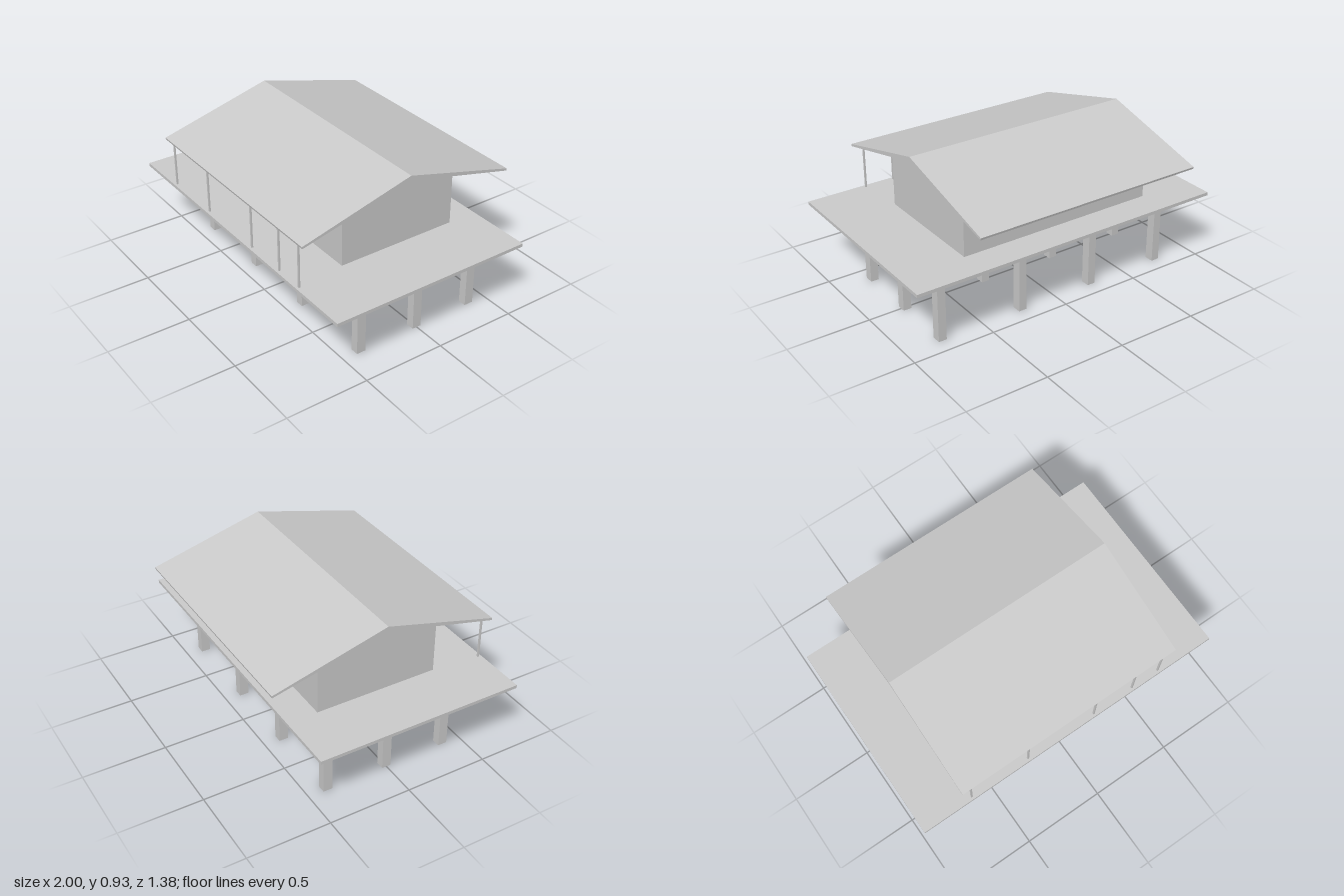
import * as THREE from 'three';

const material = new THREE.MeshStandardMaterial({ color: 0xcccccc, flatShading: true });

export function createModel() {
  const house = new THREE.Group();
  house.name = 'stiltHouse';

  const add = (name, geometry) => {
    const mesh = new THREE.Mesh(geometry, material);
    mesh.name = name;
    house.add(mesh);
    return mesh;
  };

  // Box given by its extents along each axis
  const box = (name, x0, x1, y0, y1, z0, z1) =>
    add(name, new THREE.BoxGeometry(x1 - x0, y1 - y0, z1 - z0)
      .translate((x0 + x1) / 2, (y0 + y1) / 2, (z0 + z1) / 2));

  // Outline of (z, y) points extruded along x
  const extrudeX = (name, points, x0, x1) => {
    const shape = new THREE.Shape(points.map(([z, y]) => new THREE.Vector2(z, y)));
    const geometry = new THREE.ExtrudeGeometry(shape, { depth: x1 - x0, bevelEnabled: false });
    return add(name, geometry.rotateY(-Math.PI / 2).translate(x1, 0, 0));
  };

  // Deck
  box('deck', -1, 1, 0.432, 0.452, -0.56, 0.69);

  // Beams, flared capitals and piers
  for (const x of [-0.75, -0.255, 0.238, 0.77]) {
    box('beam', x - 0.052, x + 0.052, 0.412, 0.432, -0.483, 0.483);
    for (const z of [-0.381, 0, 0.384]) {
      const capital = new THREE.CylinderGeometry(0.05 * Math.SQRT2, 0.038 * Math.SQRT2, 0.019, 4)
        .rotateY(Math.PI / 4).translate(x, 0.4025, z);
      add('capital', capital);
      box('pier', x - 0.025, x + 0.025, 0, 0.393, z - 0.028, z + 0.028);
    }
  }

  // Long walls, open above, between the two gable walls
  const left = 0.6, right = -0.65, depth = 0.375, t = 0.008;
  box('frontWall', right + t, left - t, 0.452, 0.718, depth - t, depth);
  box('backWall', right + t, left - t, 0.452, 0.718, -depth, -depth + t);
  const gable = [[-depth, 0.452], [depth, 0.452], [depth, 0.8], [0, 0.886], [-depth, 0.8]];
  extrudeX('leftGableWall', gable, left - t, left);
  extrudeX('rightGableWall', gable, right, right + t);

  // Pitched roof, thinner towards the eaves
  extrudeX('roof', [
    [0, 0.925], [-0.692, 0.743], [-0.689, 0.73], [0, 0.895], [0.689, 0.73], [0.692, 0.743],
  ], -0.737, 0.697);

  // Thin posts along the front eave
  for (const x of [-0.674, -0.289, 0.171, 0.444, 0.631]) {
    box('porchPost', x - 0.005, x + 0.005, 0.452, 0.738, 0.665, 0.675);
  }

  return house;
}
